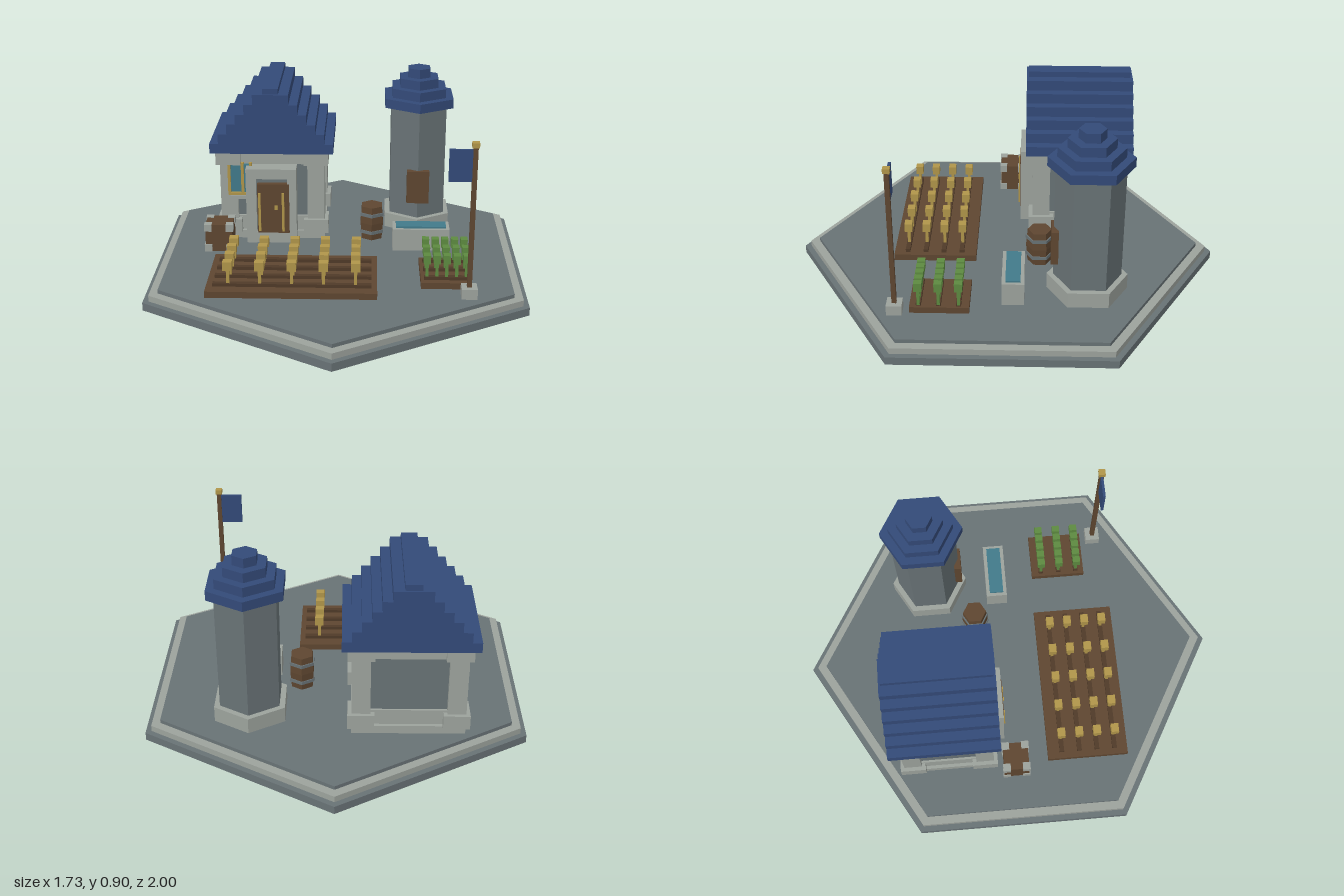
import * as THREE from 'three';

export function createModel() {
  const model = new THREE.Group();
  const mat = (name, color) => {
    const m = new THREE.MeshStandardMaterial({ color });
    m.name = name;
    return m;
  };
  const pale = mat('paleStone', 0x9ca29c);
  const stone = mat('greyStone', 0x687275);
  const blue = mat('blueTile', 0x334a78);
  const wood = mat('wood', 0x5e4630);
  const darkWood = mat('darkWood', 0x4f3a28);
  const gold = mat('gold', 0xb0954a);
  const green = mat('leafGreen', 0x5d8a40);
  const teal = mat('water', 0x417a8a);

  const group = (name) => {
    const g = new THREE.Group();
    g.name = name;
    model.add(g);
    return g;
  };
  // Box from its min and max on each axis
  const box = (parent, name, m, x0, x1, y0, y1, z0, z1) => {
    const mesh = new THREE.Mesh(new THREE.BoxGeometry(x1 - x0, y1 - y0, z1 - z0), m);
    mesh.position.set((x0 + x1) / 2, (y0 + y1) / 2, (z0 + z1) / 2);
    mesh.name = name;
    parent.add(mesh);
    return mesh;
  };
  // Faceted hexagonal drum, with points toward front and back
  const hex = (parent, name, m, x, z, y0, y1, rBottom, rTop = rBottom) => {
    const geo = new THREE.CylinderGeometry(rTop, rBottom, y1 - y0, 6).toNonIndexed();
    geo.computeVertexNormals();
    const mesh = new THREE.Mesh(geo, m);
    mesh.position.set(x, (y0 + y1) / 2, z);
    mesh.name = name;
    parent.add(mesh);
    return mesh;
  };
  const G = 0.085; // ground level

  // Hexagonal platform
  const base = group('platform');
  hex(base, 'lowerSlab', stone, 0, 0, 0, 0.038, 1);
  hex(base, 'paleRim', pale, 0, 0, 0.038, 0.067, 0.97);
  hex(base, 'courtyard', stone, 0, 0, 0.067, G, 0.925);

  // House walls
  const house = group('house');
  const hx = -0.325, hz = -0.337;
  box(house, 'wall', stone, hx - 0.23, hx + 0.23, G, 0.54, hz - 0.19, hz + 0.19);
  box(house, 'lowerWall', pale, hx - 0.24, hx + 0.24, G, 0.2, hz - 0.2, hz + 0.2);
  box(house, 'plinth', pale, hx - 0.255, hx + 0.255, G, 0.125, hz - 0.216, hz + 0.216);
  box(house, 'topBeam', pale, hx - 0.25, hx + 0.25, 0.475, 0.54, hz - 0.21, hz + 0.21);
  for (const sx of [-1, 1]) for (const sz of [-1, 1]) {
    const cx = hx + sx * 0.213, cz = hz + sz * 0.173;
    const post = (name, r, y0, y1) =>
      box(house, name, pale, cx - r, cx + r, y0, y1, cz - r, cz + r);
    post('cornerPost', 0.042, G, 0.54);
    post('postFoot', 0.06, 0.12, 0.19);
    post('postCap', 0.06, 0.475, 0.535);
  }

  // Stepped roof
  const roof = group('houseRoof');
  for (let i = 0; i < 6; i++) {
    const w = 0.298 - i * 0.0425, y = 0.54 + i * 0.0492;
    box(roof, 'roofStep', blue, hx - w, hx + w, y, y + 0.0492, -0.596, -0.088);
  }
  box(roof, 'ridge', blue, hx - 0.037, hx + 0.037, 0.835, 0.862, -0.586, -0.098);

  // Doorway
  const door = group('doorway');
  box(door, 'leftJamb', pale, -0.25, -0.205, G, 0.47, -0.14, -0.062);
  box(door, 'rightJamb', pale, -0.45, -0.4, G, 0.47, -0.14, -0.062);
  box(door, 'lintel', pale, -0.4, -0.25, 0.42, 0.47, -0.14, -0.062);
  box(door, 'recess', stone, -0.4, -0.25, G, 0.42, -0.14, -0.085);
  box(door, 'step', pale, -0.4, -0.25, G, 0.14, -0.1, -0.065);
  box(door, 'doorLeaf', wood, -0.395, -0.24, 0.14, 0.395, -0.1, -0.058);
  for (const x of [-0.385, -0.27])
    box(door, 'doorStrap', gold, x - 0.006, x + 0.006, 0.15, 0.35, -0.06, -0.052);
  box(door, 'doorKnob', gold, -0.311, -0.296, 0.265, 0.285, -0.06, -0.05);

  // Window left of the doorway as seen from the front
  const win = group('window');
  box(win, 'pane', teal, -0.535, -0.43, 0.33, 0.475, -0.14, -0.116);
  for (const x of [-0.535, -0.47, -0.43])
    box(win, 'windowBar', gold, x - 0.007, x + 0.007, 0.32, 0.485, -0.13, -0.108);
  box(win, 'windowBottom', gold, -0.54, -0.425, 0.318, 0.332, -0.13, -0.108);
  box(win, 'windowSill', pale, -0.53, -0.42, 0.3, 0.318, -0.14, -0.1);

  // Tower
  const tower = group('tower');
  const tx = 0.39, tz = -0.375;
  hex(tower, 'towerFoot', pale, tx, tz, G, 0.16, 0.185);
  hex(tower, 'towerShaft', stone, tx, tz, 0.16, 0.72, 0.156);
  [0.192, 0.15, 0.107, 0.061].forEach((r, i) => {
    const y = 0.718 + i * 0.0455;
    hex(tower, 'towerRoofStep', blue, tx, tz, y, y + 0.0455, r);
  });
  box(tower, 'towerDoor', wood, 0.335, 0.445, 0.243, 0.41, -0.24, -0.207);

  // Barrel
  const barrel = group('barrel');
  hex(barrel, 'lowerStaves', wood, 0.163, -0.158, G, 0.17, 0.057, 0.064);
  hex(barrel, 'upperStaves', wood, 0.163, -0.158, 0.17, 0.255, 0.064, 0.057);
  for (const y of [0.125, 0.215])
    hex(barrel, 'barrelHoop', stone, 0.163, -0.158, y - 0.008, y + 0.008, 0.066);

  // Crate with stone corners
  const crate = group('crate');
  const crateX = -0.575, crateY = 0.155, crateZ = -0.016;
  box(crate, 'crateBody', wood, crateX - 0.065, crateX + 0.065, G, 0.222, crateZ - 0.06, crateZ + 0.06);
  for (const sx of [-1, 1]) for (const sy of [-1, 1]) for (const sz of [-1, 1]) {
    const x = crateX + sx * 0.052, y = crateY + sy * 0.052, z = crateZ + sz * 0.047;
    box(crate, 'crateCorner', pale, x - 0.018, x + 0.018, y - 0.018, y + 0.018, z - 0.018, z + 0.018);
  }

  // Water trough
  const trough = group('trough');
  box(trough, 'basin', pale, 0.264, 0.538, G, 0.195, -0.09, 0.012);
  box(trough, 'waterSurface', teal, 0.28, 0.522, 0.195, 0.204, -0.073, -0.005);

  // Planted beds
  const bed = (name, b, rows, cols, ridge, crop, half) => {
    const g = group(name);
    box(g, 'soil', wood, b[0], b[1], G, 0.115, b[2], b[3]);
    for (const z of rows) {
      box(g, 'ridge', darkWood, ridge[0], ridge[1], 0.115, 0.13, z - 0.011, z + 0.011);
      for (const x of cols) {
        box(g, 'stalk', crop, x - 0.007, x + 0.007, 0.12, 0.2, z - 0.007, z + 0.007);
        box(g, 'cropHead', crop, x - half, x + half, 0.196, 0.238, z - 0.018, z + 0.018);
      }
    }
  };
  bed('grainField', [-0.58, 0.187, 0.143, 0.533], [0.212, 0.298, 0.384, 0.47],
    [-0.48, -0.338, -0.195, -0.053, 0.09], [-0.55, 0.162], gold, 0.021);
  bed('vegetableBed', [0.385, 0.608, 0.153, 0.42], [0.2, 0.29, 0.379],
    [0.412, 0.457, 0.501, 0.546, 0.59], [0.4, 0.596], green, 0.016);

  // Flagpole
  const flag = group('flagpole');
  box(flag, 'poleFoot', pale, 0.56, 0.63, G, 0.133, 0.45, 0.52);
  box(flag, 'pole', wood, 0.584, 0.605, 0.13, 0.79, 0.475, 0.496);
  box(flag, 'finial', gold, 0.579, 0.61, 0.788, 0.81, 0.47, 0.501);
  box(flag, 'banner', blue, 0.484, 0.585, 0.632, 0.778, 0.48, 0.492);

  return model;
}
